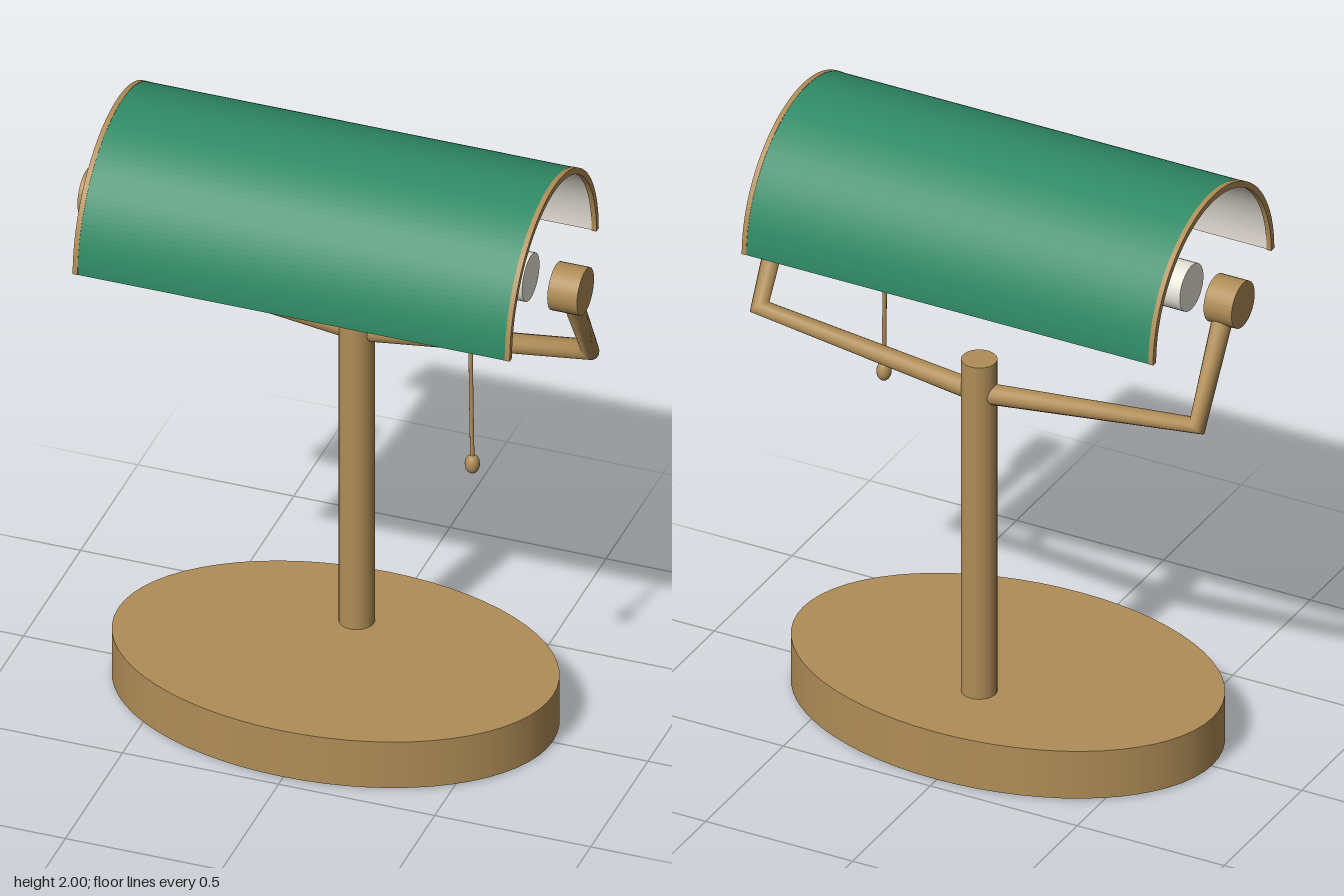
import * as THREE from 'three';

const mat = (name, color) => {
  const m = new THREE.MeshStandardMaterial({ color });
  m.name = name;
  return m;
};

// Straight-sided path with one ring per point, mitred at the bends
class BentPath extends THREE.Curve {
  constructor(points) {
    super();
    this.points = points;
  }
  getUtoTmapping(u) {
    return u;
  }
  getPoint(t, target = new THREE.Vector3()) {
    const n = this.points.length - 1;
    const i = Math.min(Math.floor(t * n), n - 1);
    return target.lerpVectors(this.points[i], this.points[i + 1], t * n - i);
  }
  getTangent(t, target = new THREE.Vector3()) {
    const p = this.points, n = p.length - 1, i = Math.round(t * n);
    target.set(0, 0, 0);
    if (i > 0) target.add(p[i].clone().sub(p[i - 1]).normalize());
    if (i < n) target.add(p[i + 1].clone().sub(p[i]).normalize());
    return target.normalize();
  }
}

// Half-round shell lying along x, open at the bottom
function halfShell(inner, outer, length) {
  const s = new THREE.Shape();
  s.absarc(0, 0, outer, 0, Math.PI, false);
  s.absarc(0, 0, inner, Math.PI, 0, true);
  const g = new THREE.ExtrudeGeometry(s, { depth: length, bevelEnabled: false, curveSegments: 36 });
  return g.translate(0, 0, -length / 2).rotateY(Math.PI / 2);
}

export function createModel() {
  const model = new THREE.Group();
  model.name = 'deskLamp';
  const brass = mat('brass', 0xb08d57);
  const green = mat('greenGlass', 0x2f8a66);
  const liner = mat('whiteLiner', 0xe6e1d8);
  const bulbWhite = mat('bulbWhite', 0xeeebdf);
  const felt = mat('darkFelt', 0x5a5040);

  const add = (name, geometry, material, x = 0, y = 0, z = 0) => {
    const mesh = new THREE.Mesh(geometry, material);
    mesh.name = name;
    mesh.position.set(x, y, z);
    model.add(mesh);
    return mesh;
  };

  // Oval base with a round felt pad beneath
  add('base', new THREE.CylinderGeometry(1, 1, 0.165, 64).scale(0.697, 1, 0.465), brass, 0, 0.0875);
  add('feltPad', new THREE.CylinderGeometry(0.38, 0.38, 0.006, 48), felt, 0, 0.003);

  // Upright post
  add('post', new THREE.CylinderGeometry(0.055, 0.055, 1.17, 32), brass, 0, 0.745, -0.185);

  // Cranked yoke holding the shade
  const yoke = [
    [-0.745, 1.645, 0], [-0.745, 1.307, -0.19], [0, 1.213, -0.185],
    [0.745, 1.307, -0.19], [0.745, 1.645, 0],
  ].map((p) => new THREE.Vector3(...p));
  add('yoke', new THREE.TubeGeometry(new BentPath(yoke), 4, 0.033, 16, false), brass);

  // Pivot knobs
  for (const side of [-1, 1]) {
    const knob = new THREE.CylinderGeometry(0.075, 0.075, 0.095, 32).rotateZ(Math.PI / 2);
    add(side > 0 ? 'leftKnob' : 'rightKnob', knob, brass, side * 0.7525, 1.645, 0);
  }

  // Shade, its white inside and its end trims
  add('shade', halfShell(0.377, 0.389, 1.37), green, 0, 1.61);
  add('shadeLiner', halfShell(0.373, 0.3765, 1.37), liner, 0, 1.611);
  for (const side of [-1, 1]) {
    add(side > 0 ? 'leftTrim' : 'rightTrim', halfShell(0.37, 0.39, 0.016), brass, side * 0.692, 1.61);
  }

  // Tube bulb
  const bulb = new THREE.CylinderGeometry(0.076, 0.076, 1.25, 32).rotateZ(Math.PI / 2);
  add('bulb', bulb, bulbWhite, 0, 1.657);

  // Pull cord and bead
  const cord = new THREE.CatmullRomCurve3([
    new THREE.Vector3(0.46, 1.695, 0.072),
    new THREE.Vector3(0.463, 1.35, 0.082),
    new THREE.Vector3(0.472, 1.02, 0.094),
  ]);
  add('pullCord', new THREE.TubeGeometry(cord, 12, 0.007, 8, false), brass);
  add('pullBead', new THREE.SphereGeometry(0.023, 20, 14).scale(1, 1.4, 1), brass, 0.472, 1.01, 0.094);

  return model;
}
